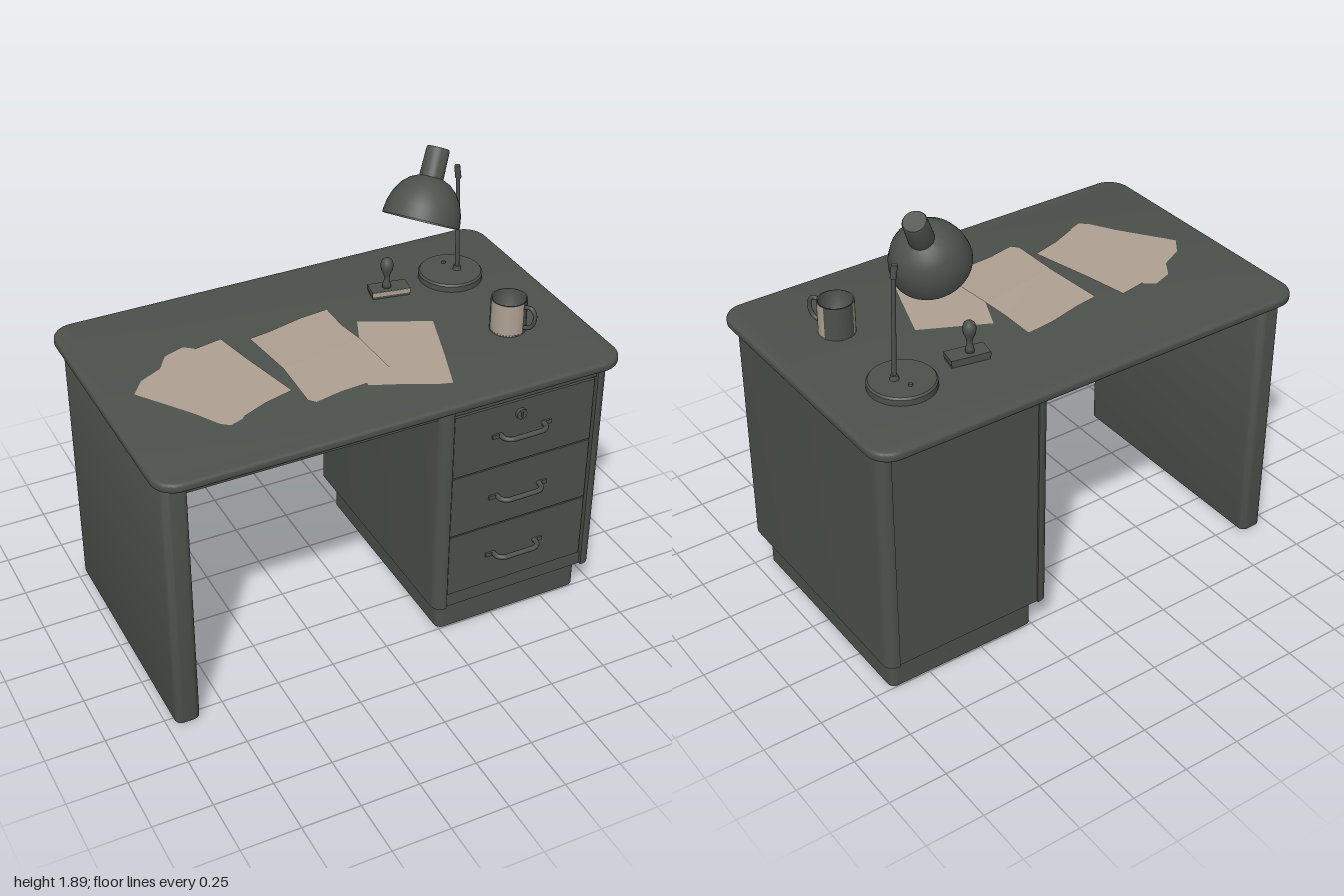
import * as THREE from 'three';
import { toCreasedNormals } from 'three/addons/utils/BufferGeometryUtils.js';

const enamel = new THREE.MeshStandardMaterial({ color: 0x4d524d });
enamel.name = 'grey green enamel';
const paper = new THREE.MeshStandardMaterial({ color: 0xb0a293, side: THREE.DoubleSide });
paper.name = 'warm paper';
const enamelOpen = enamel.clone();
enamelOpen.name = 'grey green enamel, open surfaces';
enamelOpen.side = THREE.DoubleSide;

const V = (x, y, z) => new THREE.Vector3(x, y, z);

export function createModel() {
  const model = new THREE.Group();
  model.name = 'writingDesk';

  const add = (name, geo, mat = enamel, parent = model) => {
    const mesh = new THREE.Mesh(geo, mat);
    mesh.name = name;
    parent.add(mesh);
    return mesh;
  };
  const group = (name, x = 0, y = 0, z = 0) => {
    const g = new THREE.Group();
    g.name = name;
    g.position.set(x, y, z);
    model.add(g);
    return g;
  };
  const box = (name, x0, x1, y0, y1, z0, z1, mat, parent) => {
    const m = add(name, new THREE.BoxGeometry(x1 - x0, y1 - y0, z1 - z0), mat, parent);
    m.position.set((x0 + x1) / 2, (y0 + y1) / 2, (z0 + z1) / 2);
    return m;
  };
  // Extrudes a floor-plan shape upwards, with an optional rounded edge
  const extrudeUp = (shape, y0, y1, bevel) => {
    const geo = new THREE.ExtrudeGeometry(shape, {
      depth: y1 - y0 - 2 * bevel, curveSegments: 8, bevelEnabled: bevel > 0,
      bevelThickness: bevel, bevelSize: bevel, bevelOffset: -bevel, bevelSegments: 4,
    });
    geo.rotateX(-Math.PI / 2).translate(0, y0 + bevel, 0);
    return toCreasedNormals(geo, 0.6);
  };
  // Plan outline with round corners; recess sets back the middle of front and rear
  const plan = (x0, x1, d, r, recess = 0, col = 0) => {
    const s = new THREE.Shape();
    s.moveTo(x0 + r, -d);
    if (recess) {
      s.lineTo(x0 + col, -d); s.lineTo(x0 + col, -d + recess);
      s.lineTo(x1 - col, -d + recess); s.lineTo(x1 - col, -d);
    }
    s.lineTo(x1 - r, -d);
    s.absarc(x1 - r, -d + r, r, -Math.PI / 2, 0);
    s.lineTo(x1, d - r);
    s.absarc(x1 - r, d - r, r, 0, Math.PI / 2);
    if (recess) {
      s.lineTo(x1 - col, d); s.lineTo(x1 - col, d - 0.008);
      s.lineTo(x0 + col, d - 0.008); s.lineTo(x0 + col, d);
    }
    s.lineTo(x0 + r, d);
    s.absarc(x0 + r, d - r, r, Math.PI / 2, Math.PI);
    s.lineTo(x0, -d + r);
    s.absarc(x0 + r, -d + r, r, Math.PI, Math.PI * 1.5);
    return s;
  };
  const rod = (name, a, b, r0, r1, parent) => {
    const m = add(name, new THREE.CylinderGeometry(r1, r0, a.distanceTo(b), 16), enamel, parent);
    m.position.copy(a).lerp(b, 0.5);
    m.quaternion.setFromUnitVectors(V(0, 1, 0), b.clone().sub(a).normalize());
    return m;
  };

  // Desk carcass
  add('desktop', extrudeUp(plan(-1, 1, 0.615, 0.1), 1.18, 1.222, 0.014));
  add('legPanel', extrudeUp(plan(-0.965, -0.86, 0.55, 0.03), 0, 1.175, 0.012));
  box('kneeholeApron', -0.87, 0.21, 1.095, 1.174, -0.5, 0.51);
  box('topSpacer', -0.9, 0.9, 1.17, 1.185, -0.45, 0.45);
  add('pedestal', extrudeUp(plan(0.2, 0.965, 0.55, 0.045, 0.022, 0.053), 0.15, 1.175, 0));
  add('plinth', extrudeUp(plan(0.245, 0.925, 0.495, 0.03), 0, 0.152, 0));
  box('lowerRail', 0.255, 0.91, 0.15, 0.212, 0.5, 0.538);
  box('upperRail', 0.255, 0.91, 1.113, 1.174, 0.5, 0.538);

  // Drawers with bow handles
  [[0.217, 0.515, 0.37], [0.521, 0.81, 0.667], [0.816, 1.108, 0.967]].forEach(([y0, y1, hy], i) => {
    const drawer = group('drawer' + (i + 1));
    box('drawerFront', 0.258, 0.9, y0, y1, 0.5, 0.544, enamel, drawer);
    for (const x of [0.448, 0.685]) {
      box('handlePlate', x - 0.018, x + 0.018, hy - 0.009, hy + 0.009, 0.54, 0.552, enamel, drawer);
    }
    const path = new THREE.CatmullRomCurve3([
      V(0.468, hy, 0.545), V(0.472, hy, 0.575), V(0.492, hy, 0.592), V(0.53, hy, 0.594),
      V(0.605, hy, 0.594), V(0.643, hy, 0.592), V(0.663, hy, 0.575), V(0.667, hy, 0.545)]);
    add('handleBow', new THREE.TubeGeometry(path, 36, 0.011, 8), enamel, drawer);
  });
  const lock = group('lock', 0.558, 1.045, 0.547);
  add('lockPlate', new THREE.CylinderGeometry(0.023, 0.025, 0.018, 24).rotateX(Math.PI / 2), enamel, lock);
  box('lockSlot', -0.004, 0.004, -0.012, 0.012, 0.008, 0.013, enamel, lock);

  // Loose sheets lying on the top; lift raises the first two corners at a fold
  const sheet = (name, y, pts, lift = 0) => {
    const s = new THREE.Shape(pts.map(([x, z]) => new THREE.Vector2(x, -z)));
    const geo = new THREE.ShapeGeometry(s).rotateX(-Math.PI / 2);
    const p = geo.attributes.position;
    for (let i = 0; i < p.count; i++) {
      const onFold = pts.slice(0, 2).some(([x, z]) => Math.hypot(p.getX(i) - x, p.getZ(i) - z) < 1e-4);
      p.setY(i, y + (onFold ? lift : 0));
    }
    geo.computeVertexNormals();
    add(name, geo, paper);
  };
  sheet('lowerLeftSheet', 1.2245, [[-0.855, 0], [-0.8, -0.075], [-0.7, -0.125], [-0.65, -0.2], [-0.56, -0.232],
    [-0.52, -0.2], [-0.45, 0.25], [-0.55, 0.335], [-0.605, 0.355], [-0.64, 0.325], [-0.7, 0.22]]);
  sheet('upperLeftSheet', 1.227, [[-0.69, -0.14], [-0.53, -0.195], [-0.4, -0.22], [-0.365, -0.04], [-0.3, 0.245],
    [-0.43, 0.28], [-0.535, 0.325], [-0.65, 0.24]]);
  sheet('rightSheet', 1.2245, [[0.155, -0.1], [0.3, -0.03], [0.435, 0.035], [0.36, 0.26], [0.285, 0.47],
    [0.22, 0.45], [0.1, 0.39], [-0.02, 0.34], [0.07, 0.1]]);
  sheet('foldedSheetRear', 1.2265, [[-0.27, 0.1], [0.1, 0.035], [0.085, -0.1], [0.085, -0.24], [-0.04, -0.225],
    [-0.2, -0.185], [-0.295, -0.17]], 0.007);
  sheet('foldedSheetFront', 1.2265, [[-0.27, 0.1], [0.1, 0.035], [0.115, 0.305], [0, 0.325], [-0.13, 0.335],
    [-0.25, 0.36], [-0.275, 0.33]], 0.007);

  // Desk lamp
  const lamp = group('lamp');
  const lathe = (pts, seg = 40, start = 0, len = Math.PI * 2) =>
    new THREE.LatheGeometry(pts.map(([r, y]) => new THREE.Vector2(r, y)), seg, start, len);
  const foot = add('lampFoot', toCreasedNormals(
    lathe([[0, 0], [0.137, 0], [0.137, 0.026], [0.13, 0.034], [0, 0.036]]), 0.7), enamel, lamp);
  foot.position.set(0.68, 1.221, -0.26);
  rod('footCollar', V(0.707, 1.25, -0.25), V(0.707, 1.275, -0.25), 0.02, 0.014, lamp);
  rod('footSwitch', V(0.68, 1.25, -0.32), V(0.68, 1.265, -0.32), 0.01, 0.008, lamp);
  rod('lampStem', V(0.707, 1.25, -0.248), V(0.696, 1.7, -0.255), 0.009, 0.009, lamp);
  rod('stemTip', V(0.697, 1.69, -0.255), V(0.69, 1.745, -0.255), 0.013, 0.012, lamp);
  const shade = add('lampShade', toCreasedNormals(lathe([[0.16, 0], [0.16, 0.015], [0.154, 0.055],
    [0.138, 0.1], [0.113, 0.138], [0.083, 0.165], [0.05, 0.18], [0.048, 0.295], [0.044, 0.302], [0, 0.302]]),
    0.8), enamelOpen, lamp);
  shade.position.set(0.45, 1.61, -0.12);
  shade.quaternion.setFromUnitVectors(V(0, 1, 0), V(0.125, 0.255, -0.095).normalize());

  // Rubber stamp
  const stamp = group('stamp', 0.38, 1.221, -0.25);
  stamp.rotation.y = -0.18;
  box('stampPad', -0.08, 0.08, 0, 0.014, -0.036, 0.036, enamel, stamp);
  box('stampBlock', -0.083, 0.083, 0.014, 0.034, -0.039, 0.039, enamel, stamp);
  box('stampFrontFace', -0.083, 0.083, 0.014, 0.033, 0.039, 0.041, paper, stamp);
  add('stampHandle', lathe([[0, 0.03], [0.019, 0.032], [0.017, 0.05], [0.011, 0.07], [0.013, 0.09], [0.024, 0.115],
    [0.028, 0.138], [0.022, 0.16], [0.01, 0.17], [0, 0.171]], 20), enamel, stamp).position.x = -0.01;

  // Mug with painted patches around its wall
  const mug = group('mug', 0.685, 1.222, 0.21);
  const deg = Math.PI / 180;
  [[-100, 20, 1], [20, 55, 0], [55, 110, 1], [110, 212, 0], [212, 238, 1], [238, 260, 0]].forEach(([a, b, light]) => {
    add(light ? 'mugPatch' : 'mugWall', lathe([[0.075, 0], [0.075, 0.143]], Math.ceil((b - a) / 10), a * deg,
      (b - a) * deg), light ? paper : enamelOpen, mug);
  });
  add('mugInside', lathe([[0.075, 0.143], [0.069, 0.143], [0.067, 0.012], [0, 0.012]]), enamelOpen, mug);
  add('mugBase', new THREE.CylinderGeometry(0.075, 0.075, 0.008, 40), enamel, mug).position.y = 0.004;
  const grip = new THREE.CatmullRomCurve3([V(0.072, 0.122, 0), V(0.105, 0.125, 0), V(0.122, 0.1, 0),
    V(0.118, 0.062, 0), V(0.1, 0.036, 0), V(0.072, 0.028, 0)]);
  add('mugHandle', new THREE.TubeGeometry(grip, 24, 0.009, 8), enamel, mug).rotation.y = -62 * deg;

  return model;
}
